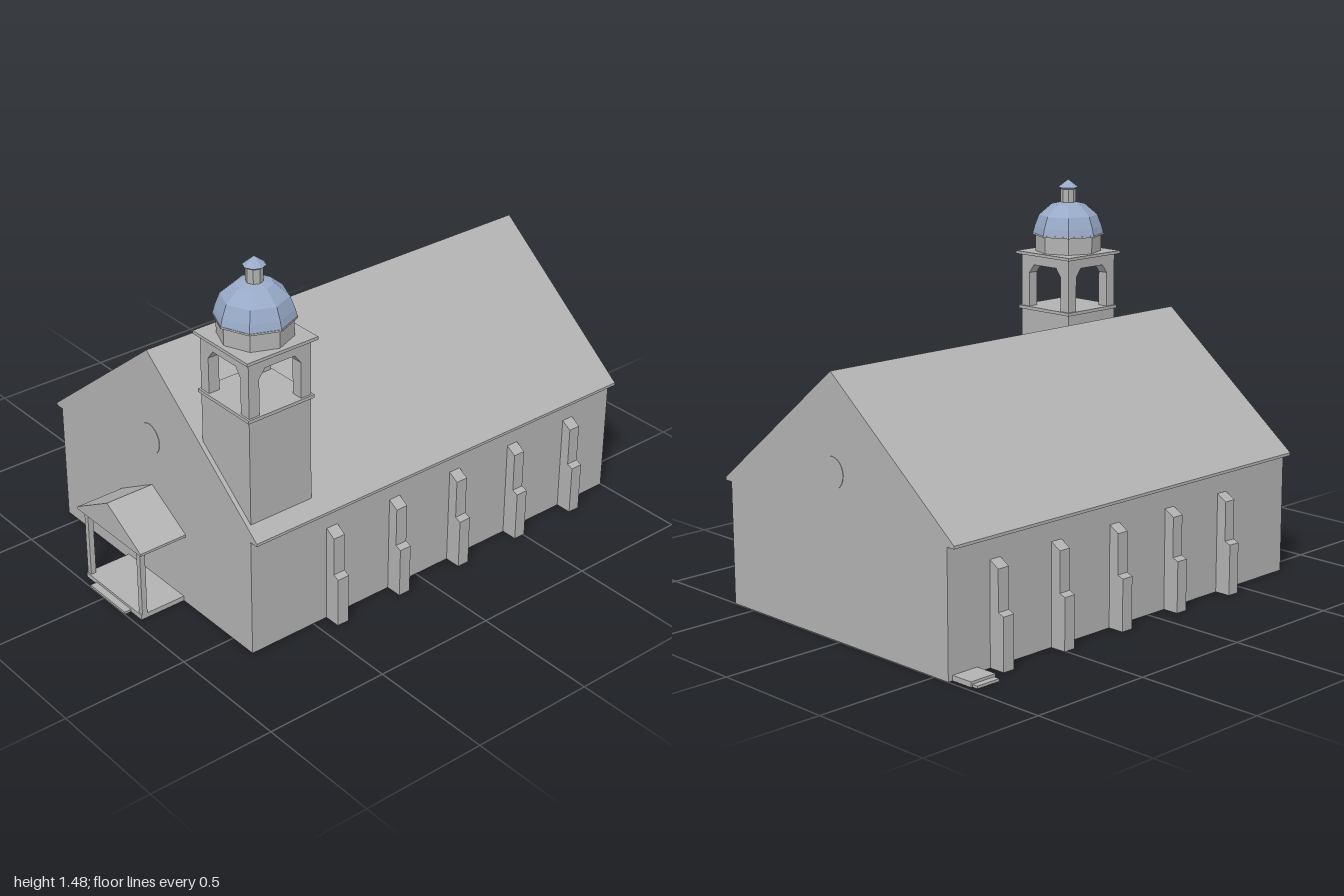
import * as THREE from 'three';

const stone = new THREE.MeshStandardMaterial({ color: 0xb2b2b2, side: THREE.DoubleSide });
stone.name = 'grey stone';
const blue = new THREE.MeshStandardMaterial({ color: 0x98aac8 });
blue.name = 'dome blue';

const CX = 0.0225;              // centre line of the nave
const FRONT = 0.78, BACK = -1;  // gable planes
const TX = 0.4595, TZ = 0.6275; // tower centre

export function createModel() {
  const model = new THREE.Group();
  model.name = 'church';

  // Adds a faceted mesh
  function add(name, geometry, x = 0, y = 0, z = 0, material = stone, parent = model) {
    const g = geometry.index ? geometry.toNonIndexed() : geometry;
    g.computeVertexNormals();
    const mesh = new THREE.Mesh(g, material);
    mesh.name = name;
    mesh.position.set(x, y, z);
    parent.add(mesh);
    return mesh;
  }

  // Box given by its limits
  function box(name, x0, x1, y0, y1, z0, z1, parent = model) {
    return add(name, new THREE.BoxGeometry(x1 - x0, y1 - y0, z1 - z0),
      (x0 + x1) / 2, (y0 + y1) / 2, (z0 + z1) / 2, stone, parent);
  }

  const shapeOf = (pts) => new THREE.Shape(pts.map(([x, y]) => new THREE.Vector2(x, y)));
  const extrude = (shape, depth) => new THREE.ExtrudeGeometry(shape, { depth, bevelEnabled: false })
    .translate(0, 0, -depth / 2);

  // Open skin swept along z from a clockwise outline
  function skin(pts, z0, z1) {
    const pos = [];
    for (let i = 0; i < pts.length - 1; i++) {
      const [ax, ay] = pts[i], [bx, by] = pts[i + 1];
      pos.push(ax, ay, z1, bx, by, z1, bx, by, z0, ax, ay, z1, bx, by, z0, ax, ay, z0);
    }
    const g = new THREE.BufferGeometry();
    g.setAttribute('position', new THREE.Float32BufferAttribute(pos, 3));
    return g;
  }

  // Symmetric outline from its left half
  const mirrored = (half) => [...half, ...half.slice(0, -1).reverse().map(([x, y]) => [-x, y])]
    .map(([x, y]) => [x + CX, y]);

  // Nave: hollow walls and roof, open below
  const nave = mirrored([[-0.5925, 0], [-0.5925, 0.475], [-0.6275, 0.475], [-0.6275, 0.486], [0, 0.985]]);
  const porch = mirrored([[-0.2025, 0.295], [-0.2025, 0.305], [0, 0.422]]);
  add('wallsAndRoof', skin(nave, BACK, FRONT));
  const frontShape = shapeOf(nave);
  frontShape.holes.push(new THREE.Path(porch.map(([x, y]) => new THREE.Vector2(x, y))));
  add('frontGable', new THREE.ShapeGeometry(frontShape), 0, 0, FRONT);
  add('backGable', new THREE.ShapeGeometry(shapeOf(nave)).rotateY(Math.PI), 2 * CX, 0, BACK);

  // Round gable windows
  for (const [name, z] of [['frontRoundWindow', FRONT], ['backRoundWindow', BACK]]) {
    add(name, new THREE.CylinderGeometry(0.06, 0.06, 0.004, 24).rotateX(Math.PI / 2), CX, 0.62, z);
  }

  // Buttresses along both sides
  const buttressShape = shapeOf([[0, 0], [0.066, 0], [0.066, 0.2], [0.041, 0.21], [0.041, 0.365], [0, 0.39]]);
  for (let i = 0; i < 5; i++) {
    const z = 0.413 - i * 0.298;
    add('leftButtress', extrude(buttressShape, 0.05), 0.615, 0, z);
    add('rightButtress', extrude(buttressShape, 0.05), -0.57, 0, z).rotation.y = Math.PI;
  }

  // Porch
  add('porchRoof', skin([...porch, porch[0]], FRONT, 0.98));
  add('porchGable', new THREE.ShapeGeometry(shapeOf(porch)), 0, 0, 0.98);
  box('porchFloor', -0.155, 0.2, 0, 0.02, FRONT, 0.972);
  box('porchStep', -0.09, 0.133, 0, 0.01, 0.972, 1);
  for (const s of [-1, 1]) {
    const x = CX + s * 0.1665;
    box('porchPost', x - 0.011, x + 0.011, 0.02, 0.297, 0.945, 0.967);
  }

  // Wall plaque and side stoop
  box('wallPlaque', -0.42, -0.303, 0.065, 0.105, FRONT, 0.79);
  box('sideStoop', -0.66, -0.57, 0, 0.02, -0.98, -0.865);
  box('sideStep', -0.685, -0.66, 0, 0.01, -0.973, -0.872);

  // Bell tower, its foot cut to the roof slope
  const tower = new THREE.Group();
  tower.name = 'bellTower';
  model.add(tower);
  const W = 0.135;
  const roofY = (x) => 0.984 - (x - CX) * 0.499 / 0.6275;
  add('towerShaft', extrude(shapeOf([
    [TX - W, roofY(TX - W)], [TX + W, roofY(TX + W)], [TX + W, 0.942], [TX - W, 0.942],
  ]), 2 * W), 0, 0, TZ, stone, tower);
  box('towerLedge', TX - 0.143, TX + 0.143, 0.942, 0.955, TZ - 0.143, TZ + 0.143, tower);
  box('towerCornice', TX - 0.152, TX + 0.152, 1.17, 1.182, TZ - 0.152, TZ + 0.152, tower);

  // Belfry: four walls with chamfered arches
  const T = 0.045, O = W - T;
  const arch = (outer) => extrude(shapeOf([
    [-outer, 0.955], [-O, 0.955], [-O, 1.095], [-0.064, 1.13], [0.064, 1.13], [O, 1.095],
    [O, 0.955], [outer, 0.955], [outer, 1.17], [-outer, 1.17],
  ]), T);
  for (const s of [-1, 1]) {
    add('belfryArch', arch(W), TX, 0, TZ + s * (W - T / 2), stone, tower);
    add('belfrySideArch', arch(O + 0.0005).rotateY(Math.PI / 2), TX + s * (W - T / 2), 0, TZ, stone, tower);
  }

  // Octagonal drum, dome and lantern
  const lathe = (pts) => new THREE.LatheGeometry(pts.map(([r, y]) => new THREE.Vector2(r, y)), 8);
  const octagon = (r, h) => new THREE.CylinderGeometry(r, r, h, 8);
  add('domeDrum', octagon(0.135, 0.068), TX, 1.216, TZ, stone, tower);
  add('domeRim', octagon(0.147, 0.007), TX, 1.2535, TZ, stone, tower);
  add('dome', lathe([[0.145, 1.257], [0.138, 1.285], [0.12, 1.332], [0.068, 1.377], [0, 1.39]]), TX, 0, TZ, blue, tower);
  add('lantern', octagon(0.031, 0.065), TX, 1.411, TZ, stone, tower);
  add('lanternCap', lathe([[0, 1.435], [0.03, 1.437], [0.042, 1.445], [0, 1.477]]), TX, 0, TZ, blue, tower);

  return model;
}
